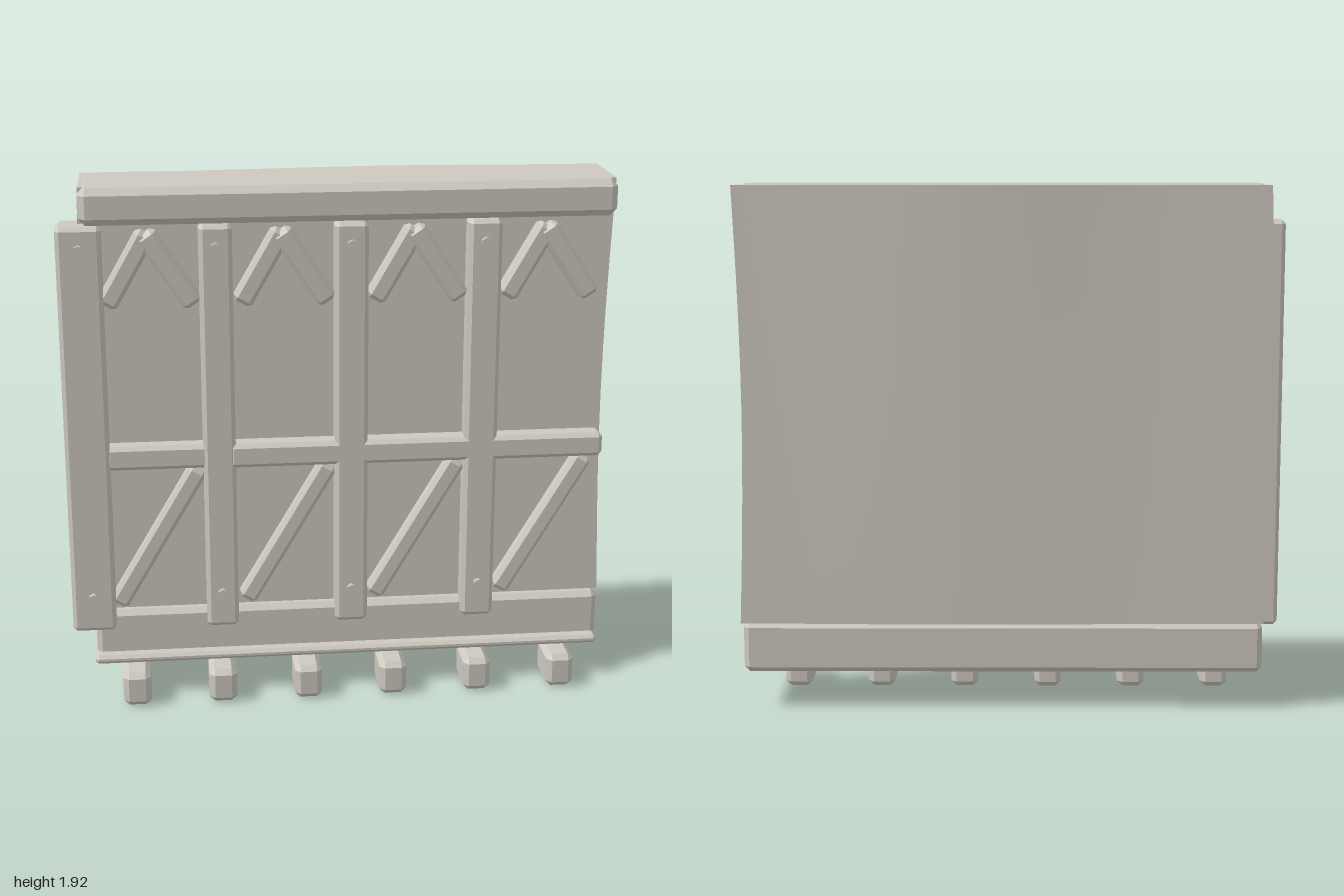
import * as THREE from 'three';
import { ConvexGeometry } from 'three/addons/geometries/ConvexGeometry.js';

export function createModel() {
  const model = new THREE.Group();
  model.name = 'timberFramedWall';
  const stone = new THREE.MeshStandardMaterial({ color: 0xcdc8bf });
  stone.name = 'warm grey';

  const add = (name, geometry, x = 0, y = 0, z = 0) => {
    const mesh = new THREE.Mesh(geometry, stone);
    mesh.name = name;
    mesh.position.set(x, y, z);
    model.add(mesh);
    return mesh;
  };

  // Box with chamfered edges, centred on the origin
  const chamferBox = (w, h, d, b) => {
    const points = [];
    for (const sx of [-1, 1]) for (const sy of [-1, 1]) for (const sz of [-1, 1]) {
      const x = sx * w / 2, y = sy * h / 2, z = sz * d / 2;
      points.push(
        new THREE.Vector3(x, y - sy * b, z - sz * b),
        new THREE.Vector3(x - sx * b, y, z - sz * b),
        new THREE.Vector3(x - sx * b, y - sy * b, z));
    }
    return new ConvexGeometry(points);
  };

  // Beam given by its extents
  const beam = (name, [x0, x1], [y0, y1], [z0, z1], bevel = 0.015) =>
    add(name, chamferBox(x1 - x0, y1 - y0, z1 - z0, bevel),
      (x0 + x1) / 2, (y0 + y1) / 2, (z0 + z1) / 2);

  // Slanted timber between two points on the wall face
  const brace = (name, ax, ay, bx, by, width, front) => {
    const length = Math.hypot(bx - ax, by - ay);
    const mesh = add(name, chamferBox(width, length, front - 0.03, 0.015),
      (ax + bx) / 2, (ay + by) / 2, (front + 0.03) / 2);
    mesh.rotation.z = -Math.atan2(bx - ax, by - ay);
  };

  // Wall panel: back bulges near the top, both ends bow towards -x
  const left = -0.915, right = 1, bottom = 0.325, top = 1.916;
  const panel = new THREE.BoxGeometry(right - left, top - bottom, 0.297, 14, 10, 1);
  panel.translate((left + right) / 2, (bottom + top) / 2, -0.0735);
  const pos = panel.attributes.position;
  for (let i = 0; i < pos.count; i++) {
    const x = pos.getX(i), z = pos.getZ(i);
    const t = (pos.getY(i) - bottom) / (top - bottom);
    const d = Math.min(1, Math.abs(x - 0.2) / 0.8);
    if (z < 0) pos.setZ(i, z - 0.036 * Math.cos(d * Math.PI / 2) ** 2 * (0.4 + 0.6 * t));
    pos.setX(i, x - 0.021 * Math.sin(Math.PI * t));
  }
  panel.computeVertexNormals();
  add('wallPanel', panel);

  // Horizontal timbers
  beam('topBeam', [-0.915, 0.993], [1.79, 1.922], [-0.145, 0.152], 0.025);
  beam('sill', [-0.915, 0.993], [0.137, 0.325], [-0.214, 0.112], 0.02);
  beam('sillLedge', [-0.922, 0.988], [0.13, 0.163], [0.06, 0.157], 0.012);
  beam('middleRail', [-0.855, -0.48], [0.887, 0.977], [0.03, 0.137]);
  beam('middleRail', [-0.405, 0.977], [0.887, 0.977], [0.03, 0.148]);

  // Upright posts with pegs
  const posts = [[-0.998, -0.838, 0], [-0.5, -0.382, 0.03], [-0.019, 0.101, 0.03], [0.459, 0.58, 0.03]];
  const pegGeometry = new THREE.CylinderGeometry(0.018, 0.018, 0.06, 6).rotateX(Math.PI / 2);
  for (const [x0, x1, back] of posts) {
    beam('post', [x0, x1], [0.263, 1.788], [back, 0.148]);
    for (const y of [0.4, 1.71]) add('peg', pegGeometry, (x0 + x1) / 2, y, 0.137);
  }

  // Chevrons above the rail and diagonals below it, one set per bay
  for (let i = 0; i < 4; i++) {
    const x = i * 0.478;
    brace('chevronLeft', -0.83 + x, 1.497, -0.682 + x, 1.755, 0.075, 0.125);
    brace('chevronRight', -0.52 + x, 1.497, -0.69 + x, 1.755, 0.075, 0.13);
    brace('diagonalBrace', -0.828 + x, 0.353, -0.518 + x, 0.877, 0.072, 0.12);
  }

  // Joist ends under the sill
  for (let i = 0; i < 6; i++) {
    const x = -0.768 + i * 0.319;
    beam('joistEnd', [x - 0.051, x + 0.051], [0, 0.13], [0.068, 0.255], 0.02);
  }

  return model;
}
